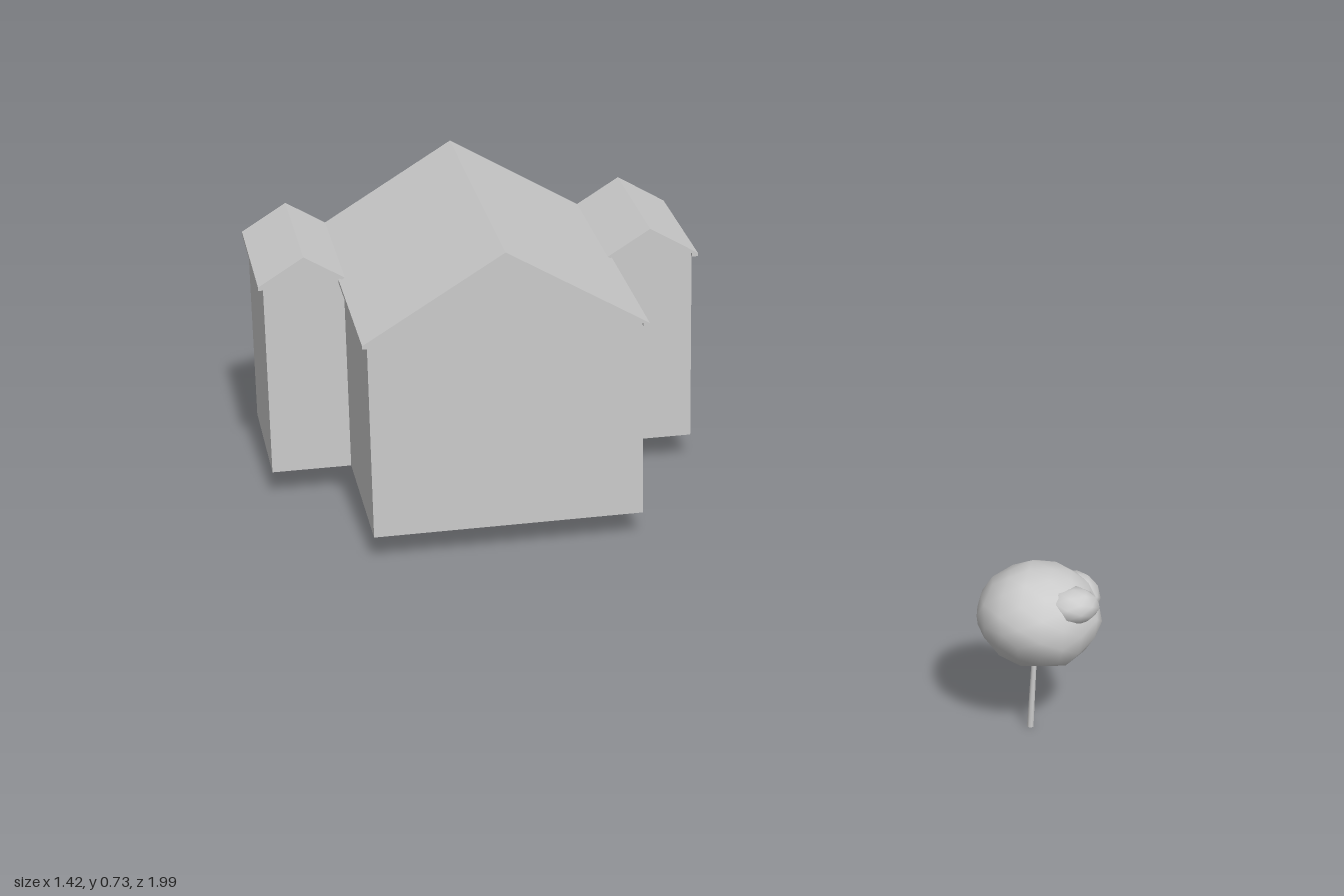
import * as THREE from 'three';
import { mergeVertices } from 'three/addons/utils/BufferGeometryUtils.js';

const wallMat = new THREE.MeshStandardMaterial({ color: 0xcccccc, side: THREE.DoubleSide });
const solidMat = new THREE.MeshStandardMaterial({ color: 0xcccccc });

const BASE = 0.063, EAVE = 0.53, BACK = -0.93, OVERHANG = 0.013;

// ridge position, roof half-width, ridge height and front wall depth of each volume
const MAIN = { name: 'main', x: -0.253, half: 0.32, top: 0.725, front: -0.192 };
const LEFT = { name: 'leftWing', x: 0.156, half: 0.114, top: 0.602, front: -0.59 };
const RIGHT = { name: 'rightWing', x: -0.652, half: 0.106, top: 0.598, front: -0.586 };

function add(group, name, geometry, material) {
  const mesh = new THREE.Mesh(geometry, material);
  mesh.name = name;
  group.add(mesh);
  return mesh;
}

const shapeOf = (points) => new THREE.Shape(points.map(([x, y]) => new THREE.Vector2(x, y)));

// Upright gabled wall from x0 to x1 at depth z
function gableWall(group, name, x0, x1, part, z) {
  const pts = [[x0, BASE], [x1, BASE], [x1, EAVE], [part.x, part.top - 0.005], [x0, EAVE]];
  add(group, name, new THREE.ShapeGeometry(shapeOf(pts)), wallMat).position.z = z;
}

// Rectangular side wall at x between two depths
function sideWall(group, name, x, z0, z1) {
  const wall = add(group, name, new THREE.PlaneGeometry(z1 - z0, EAVE - BASE), wallMat);
  wall.rotation.y = Math.PI / 2;
  wall.position.set(x, (EAVE + BASE) / 2, (z0 + z1) / 2);
}

// Thin chevron roof with a boxed eave, run from front to back overhang
function roof(group, { name, x, half, top, front }) {
  const t = 0.008, soffit = EAVE - 0.005, inner = half - 0.014;
  const pts = [
    [-half, soffit], [-inner, soffit], [-inner, EAVE + 0.003], [0, top - t],
    [inner, EAVE + 0.003], [inner, soffit], [half, soffit],
    [half, EAVE + 0.003], [0, top], [-half, EAVE + 0.003],
  ];
  const back = BACK - OVERHANG;
  const geometry = new THREE.ExtrudeGeometry(shapeOf(pts), {
    depth: front + OVERHANG - back, bevelEnabled: false,
  });
  add(group, name + 'Roof', geometry, solidMat).position.set(x, 0, back);
}

function createHouse() {
  const house = new THREE.Group();
  house.name = 'house';
  const outerRight = -0.746, innerRight = -0.561, innerLeft = 0.055, outerLeft = 0.258;

  // front gables
  gableWall(house, 'mainFrontWall', innerRight, innerLeft, MAIN, MAIN.front);
  gableWall(house, 'rightWingFrontWall', outerRight, innerRight, RIGHT, RIGHT.front);
  gableWall(house, 'leftWingFrontWall', innerLeft, outerLeft, LEFT, LEFT.front);

  // flush back wall, one gable per volume
  gableWall(house, 'mainBackWall', innerRight, innerLeft, MAIN, BACK);
  gableWall(house, 'rightWingBackWall', outerRight, innerRight, RIGHT, BACK);
  gableWall(house, 'leftWingBackWall', innerLeft, outerLeft, LEFT, BACK);

  // sides, open where the wings join the main room
  sideWall(house, 'rightWingSideWall', outerRight, BACK, RIGHT.front);
  sideWall(house, 'mainRightWall', innerRight, RIGHT.front, MAIN.front);
  sideWall(house, 'mainLeftWall', innerLeft, LEFT.front, MAIN.front);
  sideWall(house, 'leftWingSideWall', outerLeft, BACK, LEFT.front);

  for (const part of [MAIN, LEFT, RIGHT]) roof(house, part);
  house.rotation.y = -0.078;
  return house;
}

// Slightly lumpy, smooth-shaded ellipsoid
function leafBall(group, name, center, radii, detail, phase) {
  let geometry = new THREE.IcosahedronGeometry(1, detail);
  geometry.deleteAttribute('uv');
  geometry.deleteAttribute('normal');
  geometry = mergeVertices(geometry, 1e-4);
  const p = geometry.attributes.position, v = new THREE.Vector3();
  for (let i = 0; i < p.count; i++) {
    v.fromBufferAttribute(p, i);
    const bump = Math.sin(5 * v.x + phase) * Math.sin(4 * v.y + 1) * Math.cos(5 * v.z - phase);
    v.multiplyScalar(1 + 0.05 * bump);
    p.setXYZ(i, v.x, v.y, v.z);
  }
  geometry.scale(...radii);
  geometry.computeVertexNormals();
  add(group, name, geometry, solidMat).position.set(...center);
}

function createTree() {
  const tree = new THREE.Group();
  tree.name = 'tree';
  // trunk
  const trunk = new THREE.CylinderGeometry(0.005, 0.007, 0.2, 8);
  add(tree, 'trunk', trunk, solidMat).position.set(0, 0.1, 0);
  // crown with two smaller clumps
  leafBall(tree, 'crown', [0.003, 0.256, 0], [0.125, 0.102, 0.125], 2, 0.6);
  leafBall(tree, 'frontClump', [0.04, 0.305, 0.075], [0.055, 0.036, 0.045], 1, 0.2);
  leafBall(tree, 'sideClump', [0.085, 0.283, -0.01], [0.05, 0.045, 0.06], 1, 1.4);
  tree.position.set(0.572, 0, 0.87);
  return tree;
}

export function createModel() {
  const model = new THREE.Group();
  model.name = 'houseWithTree';
  model.add(createHouse(), createTree());
  return model;
}
